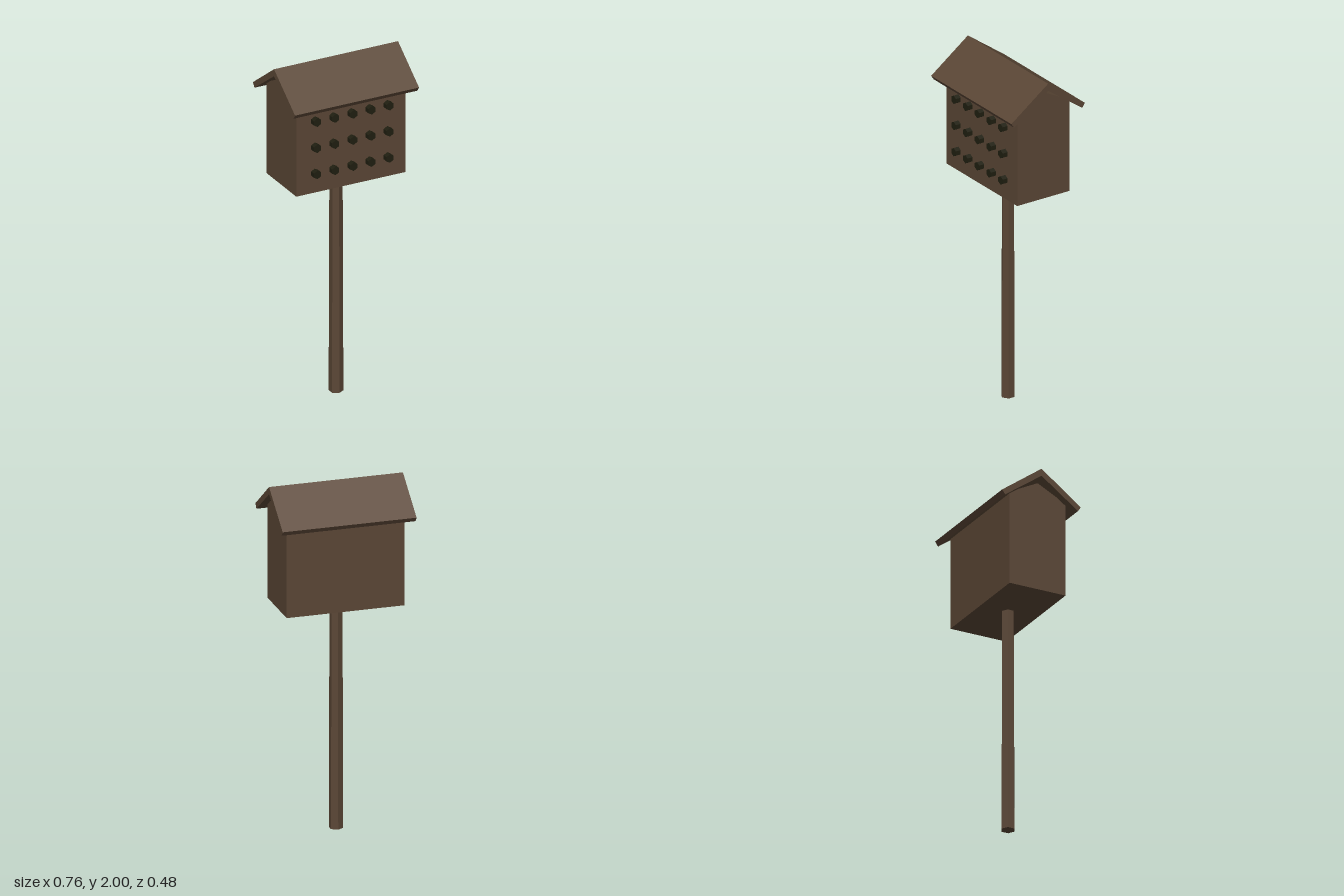
import * as THREE from 'three';

const wood = new THREE.MeshStandardMaterial({ color: 0x5a4635, flatShading: true });
wood.name = 'brown wood';
const dark = new THREE.MeshStandardMaterial({ color: 0x1f1e10, flatShading: true });
dark.name = 'dark entrance';

function addMesh(parent, name, geometry, material) {
  const mesh = new THREE.Mesh(geometry, material);
  mesh.name = name;
  parent.add(mesh);
  return mesh;
}

// Extrudes a side profile of [z, y] points along x, centred on x = 0
function profileAlongX(points, length) {
  const shape = new THREE.Shape(points.map(([z, y]) => new THREE.Vector2(z, y)));
  const geometry = new THREE.ExtrudeGeometry(shape, { depth: length, bevelEnabled: false });
  geometry.translate(0, 0, -length / 2);
  geometry.rotateY(Math.PI / 2);
  return geometry;
}

export function createModel() {
  const model = new THREE.Group();
  model.name = 'birdhouse';

  // Tapered six-sided pole
  const pole = addMesh(model, 'pole', new THREE.CylinderGeometry(0.036, 0.04, 1.3, 6), wood);
  pole.position.y = 0.65;

  // House body with a shallow gable
  addMesh(model, 'houseBody', profileAlongX(
    [[-0.172, 1.3], [0.172, 1.3], [0.172, 1.845], [0, 1.932], [-0.172, 1.845]], 0.67), wood);

  // Pitched roof boards, open under the ridge
  addMesh(model, 'roof', profileAlongX(
    [[0, 2], [-0.242, 1.823], [-0.224, 1.797], [0, 1.958], [0.224, 1.797], [0.242, 1.823]], 0.76), wood);

  // Rows of six-sided entrance plugs on the front
  const entrances = new THREE.Group();
  entrances.name = 'entrances';
  model.add(entrances);
  const plug = new THREE.CylinderGeometry(0.025, 0.025, 0.034, 6);
  plug.rotateX(Math.PI / 2);
  for (let row = 0; row < 3; row++) {
    for (let column = -2; column <= 2; column++) {
      const entrance = addMesh(entrances, 'entrance', plug, dark);
      entrance.position.set(column * 0.111, 1.418 + row * 0.156, 0.187);
    }
  }
  return model;
}
